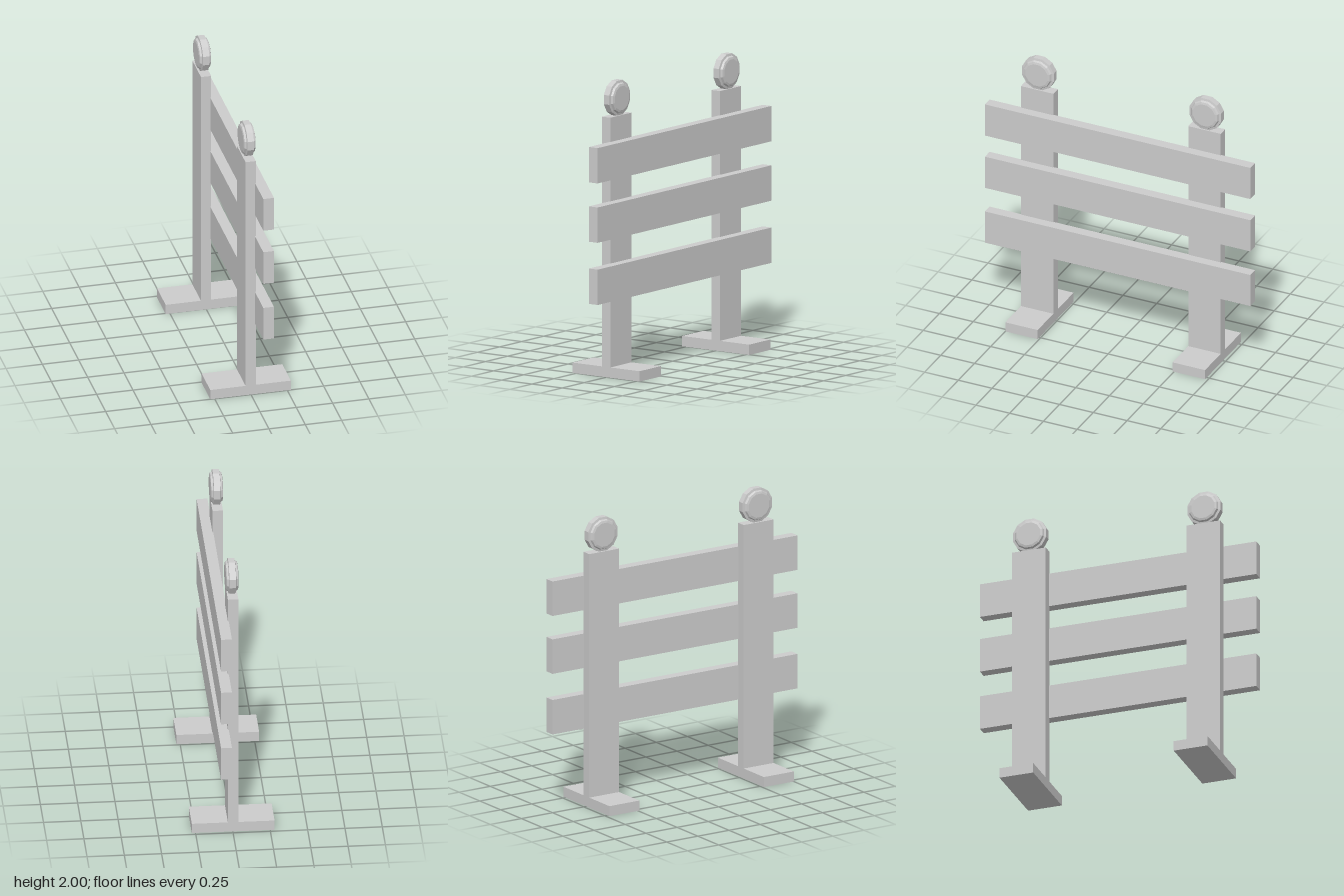
import * as THREE from 'three';

export function createModel() {
  const group = new THREE.Group();
  const material = new THREE.MeshStandardMaterial({ color: 0xcccccc, flatShading: true });

  // Box given by its minimum and maximum corners
  const box = (name, [x0, y0, z0], [x1, y1, z1]) => {
    const mesh = new THREE.Mesh(new THREE.BoxGeometry(x1 - x0, y1 - y0, z1 - z0), material);
    mesh.position.set((x0 + x1) / 2, (y0 + y1) / 2, (z0 + z1) / 2);
    mesh.name = name;
    group.add(mesh);
  };

  // Warning lamp: twelve-sided rim with a stepped, bevelled lens on both faces
  const half = [[0.122, 0.022], [0.106, 0.025], [0.099, 0.038], [0.084, 0.042], [0, 0.042]];
  const profile = [
    ...half.map(([r, h]) => new THREE.Vector2(r, -h)).reverse(),
    ...half.map(([r, h]) => new THREE.Vector2(r, h)),
  ];
  const lampGeometry = new THREE.LatheGeometry(profile, 12, Math.PI / 12);
  lampGeometry.rotateZ(-Math.PI / 2);

  // Two supports, each with a foot, an upright and a lamp
  for (const z of [0.63, -0.61]) {
    box('foot', [-0.28, 0, z - 0.12], [0.275, 0.07, z + 0.12]);
    box('post', [-0.037, 0.07, z - 0.12], [0.033, 1.765, z + 0.12]);
    const lamp = new THREE.Mesh(lampGeometry, material);
    lamp.position.set(0, 1.882, z);
    lamp.name = 'warningLamp';
    group.add(lamp);
  }

  // Three horizontal planks on the +x side
  for (const y of [0.535, 0.957, 1.36]) {
    box('plank', [0.027, y, -0.982], [0.1, y + 0.24, 0.985]);
  }
  return group;
}
